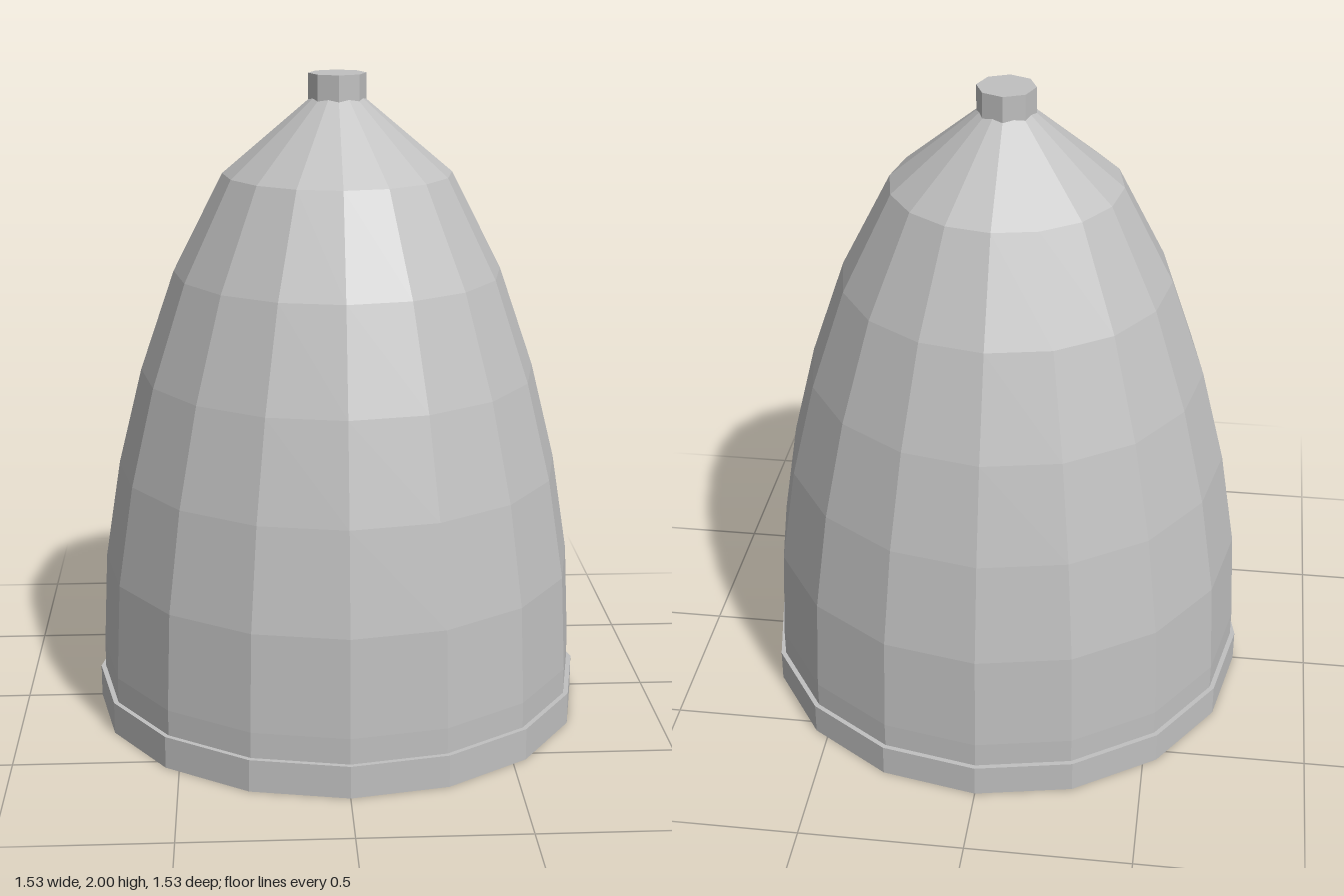
import * as THREE from 'three';

const SIDES = 16;
const steel = new THREE.MeshStandardMaterial({ color: 0xc0c0c0 });
steel.name = 'light grey metal';

// Faceted mesh with one normal per face
function facetedMesh(name, geometry) {
  const flat = geometry.toNonIndexed();
  flat.computeVertexNormals();
  const mesh = new THREE.Mesh(flat, steel);
  mesh.name = name;
  return mesh;
}

// Turned part from [radius, height] pairs, bottom to top on the outside
function turned(name, profile) {
  const points = profile.map(([r, y]) => new THREE.Vector2(r, y));
  return facetedMesh(name, new THREE.LatheGeometry(points, SIDES));
}

export function createModel() {
  const group = new THREE.Group();
  group.name = 'bell dome';

  // Bell-shaped body, closed by a flat underside set inside the rim
  group.add(turned('domeBody', [
    [0, 0.1], [0.75, 0.1], [0.75, 0.18], [0.735, 0.48], [0.685, 0.79],
    [0.61, 1.09], [0.503, 1.4], [0.35, 1.7], [0, 1.995],
  ]));

  // Slightly wider band around the open base
  group.add(turned('baseRim', [
    [0.735, 0], [0.765, 0], [0.765, 0.1], [0.735, 0.1], [0.735, 0],
  ]));

  // Eight-sided cap at the tip
  const knob = facetedMesh('topKnob', new THREE.CylinderGeometry(0.088, 0.088, 0.1, 8));
  knob.position.y = 1.95;
  group.add(knob);

  return group;
}
